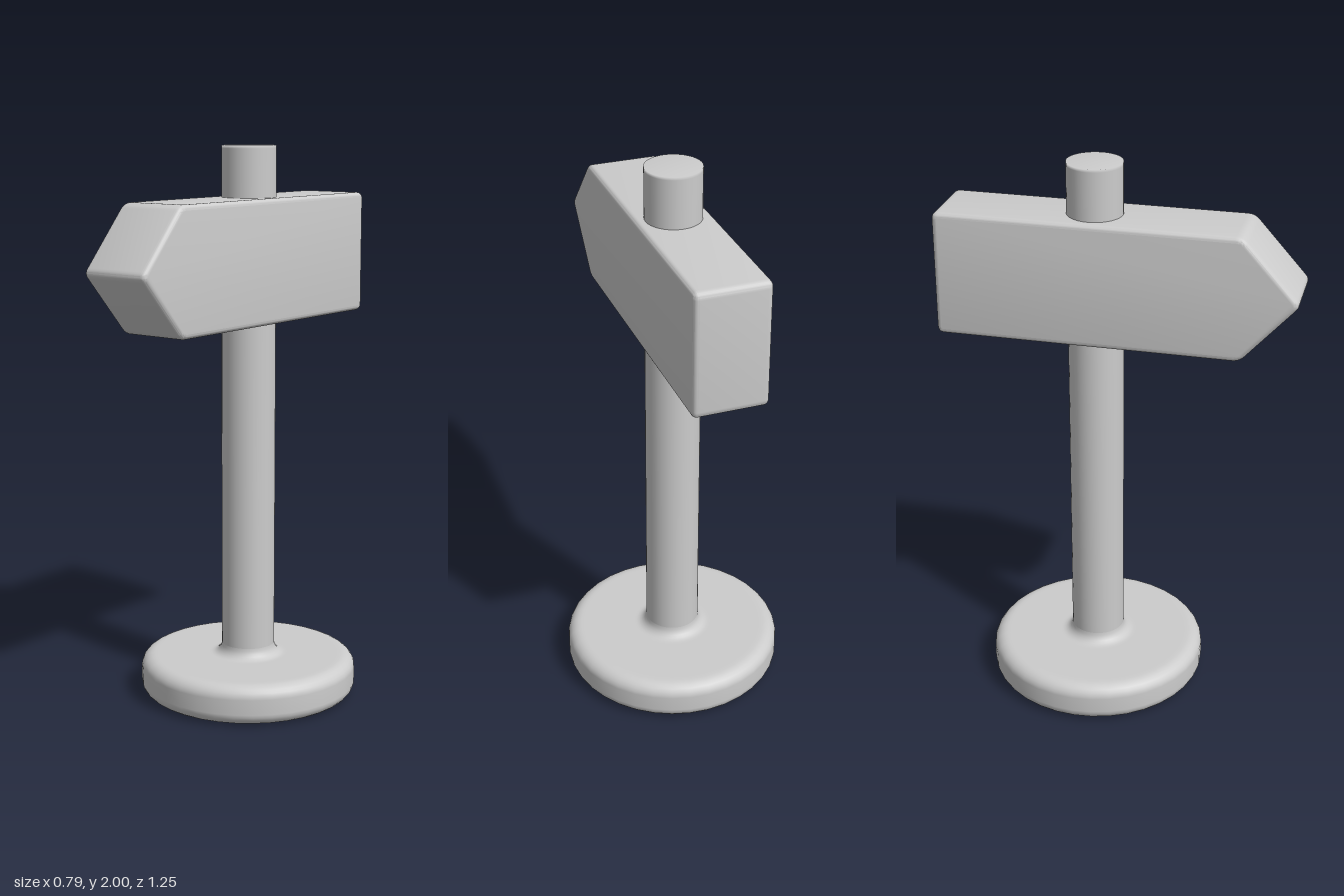
import * as THREE from 'three';
import { toCreasedNormals } from 'three/addons/utils/BufferGeometryUtils.js';

const POST_Z = -0.088;

// Closed outline with every corner rounded by distance r
function roundedShape(corners, r) {
  const pts = corners.map(([x, y]) => new THREE.Vector2(x, y));
  const toward = (a, b) => a.clone().add(b.clone().sub(a).setLength(r));
  const shape = new THREE.Shape();
  pts.forEach((p, i) => {
    const start = toward(p, pts[(i + pts.length - 1) % pts.length]);
    const end = toward(p, pts[(i + 1) % pts.length]);
    if (i === 0) shape.moveTo(start.x, start.y);
    else shape.lineTo(start.x, start.y);
    shape.quadraticCurveTo(p.x, p.y, end.x, end.y);
  });
  shape.closePath();
  return shape;
}

// Points of a quarter arc in a lathe profile
function arc(cx, cy, rx, ry, from, to, steps = 6) {
  return Array.from({ length: steps + 1 }, (_, i) => {
    const a = THREE.MathUtils.degToRad(from + (to - from) * i / steps);
    return new THREE.Vector2(cx + rx * Math.cos(a), cy + ry * Math.sin(a));
  });
}

export function createModel() {
  const group = new THREE.Group();
  const grey = new THREE.MeshStandardMaterial({ color: 0xcccccc });
  grey.name = 'light grey';

  const add = (name, geometry, z = 0) => {
    const mesh = new THREE.Mesh(geometry, grey);
    mesh.name = name;
    mesh.position.z = z;
    group.add(mesh);
  };

  // Round foot with soft edges and a fillet running up into the post
  add('base', new THREE.LatheGeometry([
    new THREE.Vector2(0, 0),
    new THREE.Vector2(0.33, 0),
    ...arc(0.345, 0.045, 0.05, 0.045, -90, 0),
    ...arc(0.345, 0.1, 0.05, 0.045, 0, 90),
    new THREE.Vector2(0.33, 0.145),
    new THREE.Vector2(0.145, 0.145),
    ...arc(0.135, 0.185, 0.038, 0.04, 270, 180),
  ], 36), POST_Z);

  // Straight post with a flat top whose rim is softly shaded
  add('post', new THREE.LatheGeometry([
    new THREE.Vector2(0.097, 0.18),
    new THREE.Vector2(0.097, 1.99),
    new THREE.Vector2(0.097, 2),
    new THREE.Vector2(0, 2),
  ], 36), POST_Z);

  // Arrow-shaped board pointing forward
  const bevel = 0.018, width = 0.26;
  const outline = roundedShape([
    [-0.625, 1.38], [0.435, 1.38], [0.633, 1.6], [0.435, 1.82], [-0.625, 1.82],
  ], 0.025);
  const board = new THREE.ExtrudeGeometry(outline, {
    depth: width - 2 * bevel,
    bevelEnabled: true,
    bevelThickness: bevel,
    bevelSize: bevel,
    bevelOffset: -bevel,
    bevelSegments: 5,
    curveSegments: 6,
  });
  board.translate(0, 0, bevel - width / 2);
  board.rotateY(-Math.PI / 2);
  add('arrowBoard', toCreasedNormals(board, 0.4));

  return group;
}
